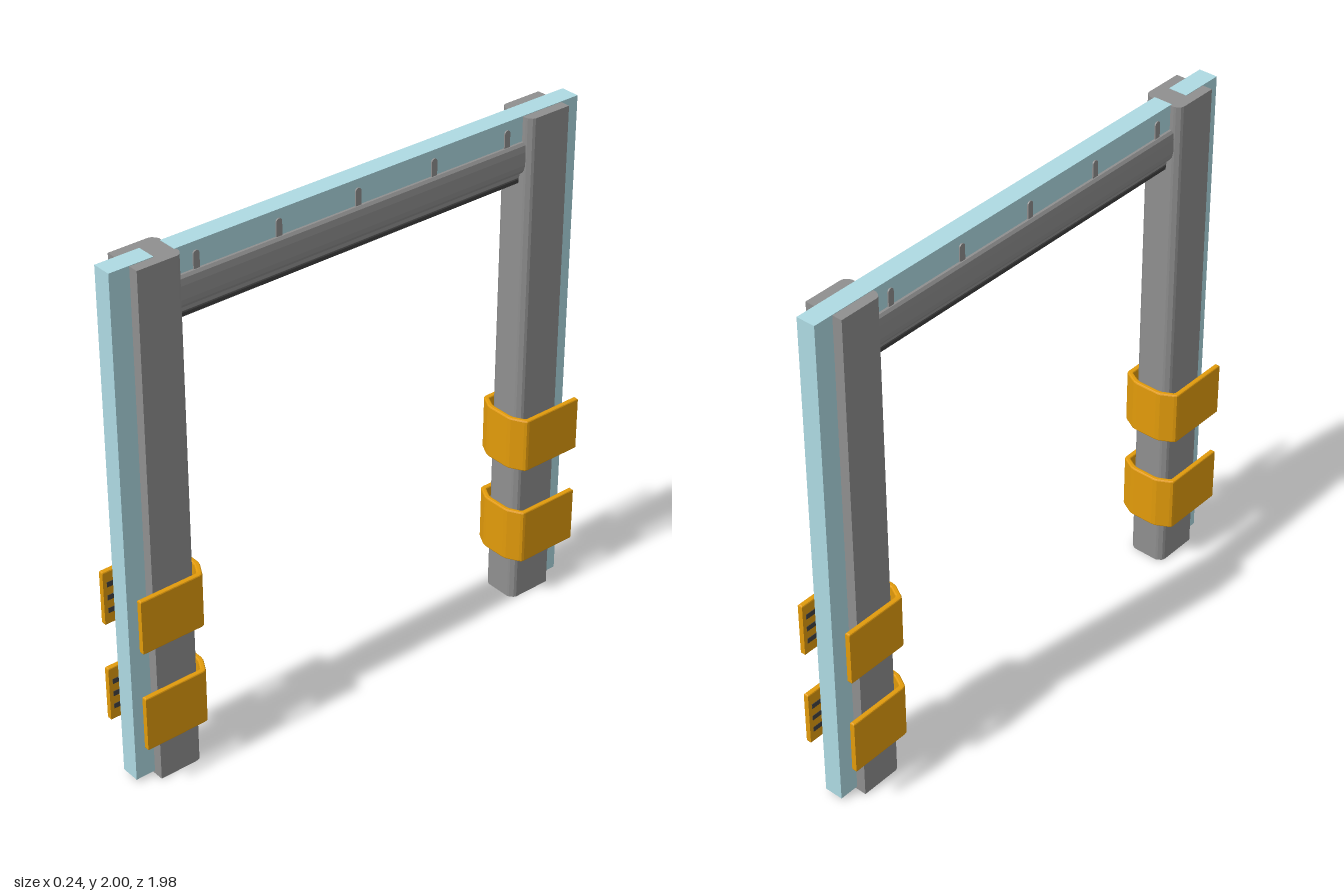
import * as THREE from 'three';

const mat = (name, color) => {
  const m = new THREE.MeshStandardMaterial({ color });
  m.name = name;
  return m;
};

export function createModel() {
  const grey = mat('grey post', 0x8f8f8f);
  const dark = mat('dark seal', 0x424242);
  const blue = mat('pale blue frame', 0xaedae3);
  const orange = mat('orange guard', 0xe29b0b);

  const model = new THREE.Group();
  model.name = 'doorFrame';

  const add = (parent, name, geometry, material) => {
    const mesh = new THREE.Mesh(geometry, material);
    mesh.name = name;
    parent.add(mesh);
    return mesh;
  };

  const box = (parent, name, material, x0, x1, y0, y1, z0, z1) => {
    const g = new THREE.BoxGeometry(x1 - x0, y1 - y0, z1 - z0);
    g.translate((x0 + x1) / 2, (y0 + y1) / 2, (z0 + z1) / 2);
    return add(parent, name, g, material);
  };

  // Outline from a half profile, mirrored across x = 0
  const mirrored = (half) => new THREE.Shape([
    ...half.map(([x, y]) => new THREE.Vector2(x, y)),
    ...half.slice().reverse().map(([x, y]) => new THREE.Vector2(-x, y)),
  ]);

  // Plan outline (x, z) raised from y0 to y1
  const raise = (half, y0, y1, bevel = 0) => {
    const shape = mirrored(half.map(([x, z]) => [x, -z]));
    const g = new THREE.ExtrudeGeometry(shape, {
      depth: y1 - y0 - 2 * bevel, bevelEnabled: bevel > 0,
      bevelThickness: bevel, bevelSize: bevel, bevelOffset: -bevel, bevelSegments: 2,
    });
    g.rotateX(-Math.PI / 2);
    g.translate(0, y0 + bevel, 0);
    return g;
  };

  const postPlan = [[0.076, 0.912], [0.076, 0.757], [0.072, 0.747], [0.058, 0.736], [0.05, 0.733]];
  // Half of the U-shaped guard: out along the inner face, back along the outer
  const guardPlan = [
    [0.04, 0.722], [0.056, 0.725], [0.094, 0.745], [0.098, 0.752], [0.098, 0.99],
    [0.118, 0.99], [0.118, 0.748], [0.116, 0.738], [0.108, 0.731], [0.062, 0.706], [0.045, 0.703],
  ];

  // Two identical sides, the rear one turned half round
  for (const [name, turn] of [['frontSide', 0], ['rearSide', Math.PI]]) {
    const side = new THREE.Group();
    side.name = name;
    side.rotation.y = turn;
    model.add(side);

    add(side, 'post', raise(postPlan, 0, 1.998), grey);
    box(side, 'jamb', blue, -0.037, 0.037, 0.012, 2, 0.82, 0.99);

    for (const [y0, y1] of [[0.19, 0.41], [0.595, 0.81]]) {
      add(side, 'guard', raise(guardPlan, y0, y1, 0.005), orange);
      // Grip strips on the inner faces of the guard arms
      for (const x of [-0.098, 0.098]) {
        for (let i = 0; i < 3; i++) {
          const y = y0 + 0.055 + i * 0.053;
          box(side, 'gripStrip', dark, x - 0.002, x + 0.002, y - 0.01, y + 0.01, 0.83, 0.975);
        }
      }
    }
  }

  // Header board
  box(model, 'headerBoard', blue, -0.037, 0.037, 1.9, 2, -0.83, 0.74);

  // Rounded beam and seal below it, run along z
  const run = (half) => {
    const g = new THREE.ExtrudeGeometry(mirrored(half), { depth: 1.48, bevelEnabled: false });
    g.translate(0, 0, -0.74);
    return g;
  };
  add(model, 'headerBeam', run([
    [0.046, 1.905], [0.053, 1.895], [0.055, 1.87], [0.055, 1.82],
    [0.051, 1.8], [0.043, 1.787], [0.03, 1.778],
  ]), grey);
  add(model, 'sealHolder', run([[0.03, 1.785], [0.03, 1.765], [0.025, 1.76]]), grey);
  add(model, 'seal', run([[0.024, 1.765], [0.028, 1.757], [0.026, 1.742], [0.016, 1.735]]), dark);

  // Small round-topped tabs through both faces of the header board
  const tab = new THREE.Shape();
  tab.moveTo(-0.012, 1.9);
  tab.lineTo(0.012, 1.9);
  tab.lineTo(0.012, 1.957);
  tab.absarc(0, 1.957, 0.012, 0, Math.PI, false);
  const tabGeometry = new THREE.ExtrudeGeometry(tab, { depth: 0.084, bevelEnabled: false, curveSegments: 6 });
  tabGeometry.translate(0, 0, -0.042);
  tabGeometry.rotateY(Math.PI / 2);
  for (let i = -2; i <= 2; i++) {
    add(model, 'headerTab', tabGeometry, grey).position.z = i * 0.33;
  }

  return model;
}
